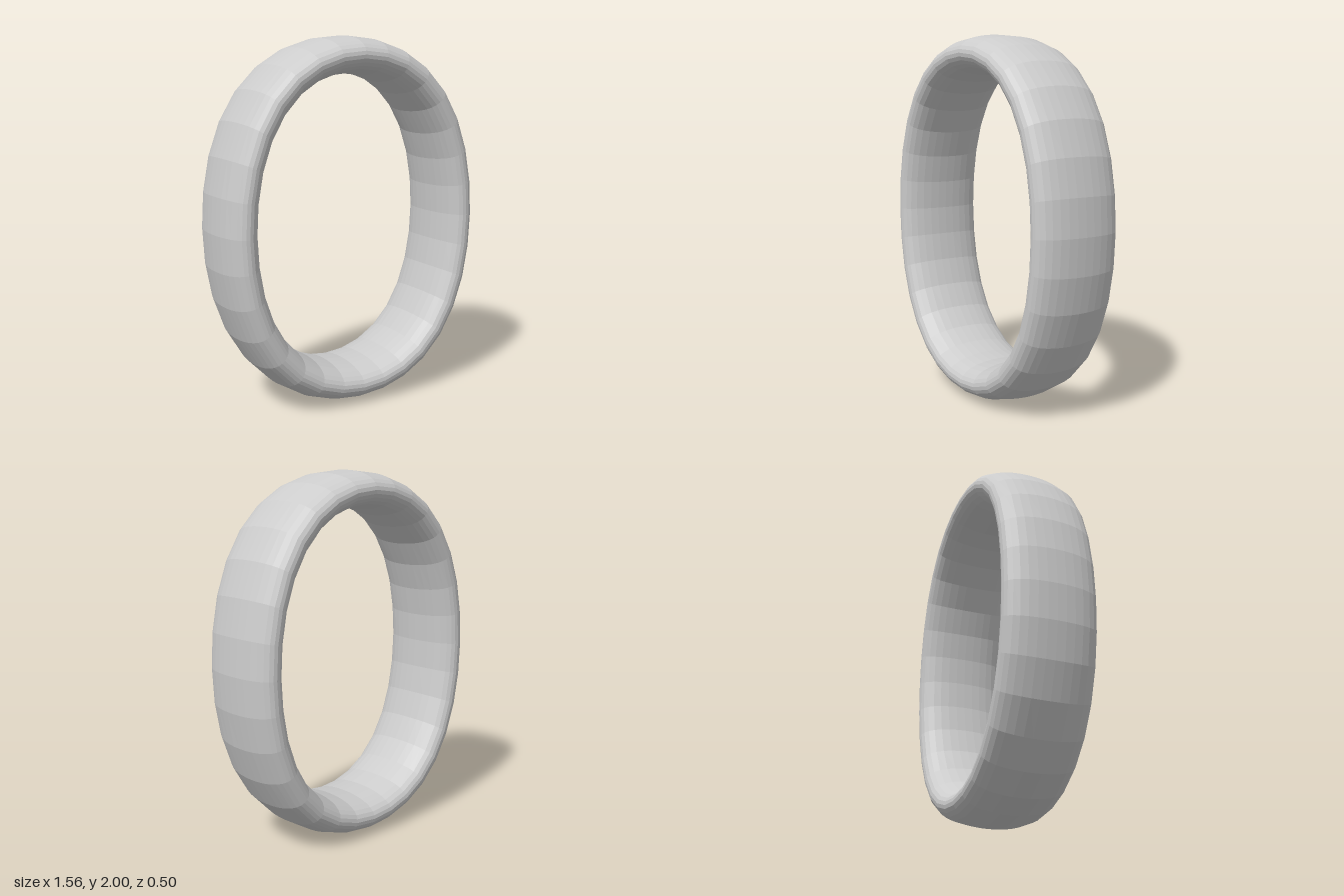
import * as THREE from 'three';

const SECTION_SIDES = 32;
const RING_SIDES = 32;

// Unit circle that bulges slightly on its diagonals
function softCircle(angle) {
  const r = 1 + 0.03 * Math.sin(2 * angle) ** 2;
  return [r * Math.cos(angle), r * Math.sin(angle)];
}

export function createModel() {
  const group = new THREE.Group();
  group.name = 'ovalRing';

  // Torus reshaped into an upright oval band with a deep, rounded section
  const geometry = new THREE.TorusGeometry(1, 0.2, SECTION_SIDES, RING_SIDES);
  const position = geometry.attributes.position;
  for (let n = 0; n < position.count; n++) {
    const around = (n % (RING_SIDES + 1)) / RING_SIDES * Math.PI * 2;
    const section = Math.floor(n / (RING_SIDES + 1)) / SECTION_SIDES * Math.PI * 2;
    const [cx, cy] = softCircle(around);
    const [out, depth] = softCircle(section);
    position.setXYZ(n, (0.68 + 0.1 * out) * cx, 1 + (0.9 + 0.1 * out) * cy, 0.25 * depth);
  }
  geometry.computeVertexNormals();

  const material = new THREE.MeshStandardMaterial({ color: 0xcccccc, flatShading: true });
  const band = new THREE.Mesh(geometry, material);
  band.name = 'band';
  group.add(band);
  return group;
}
